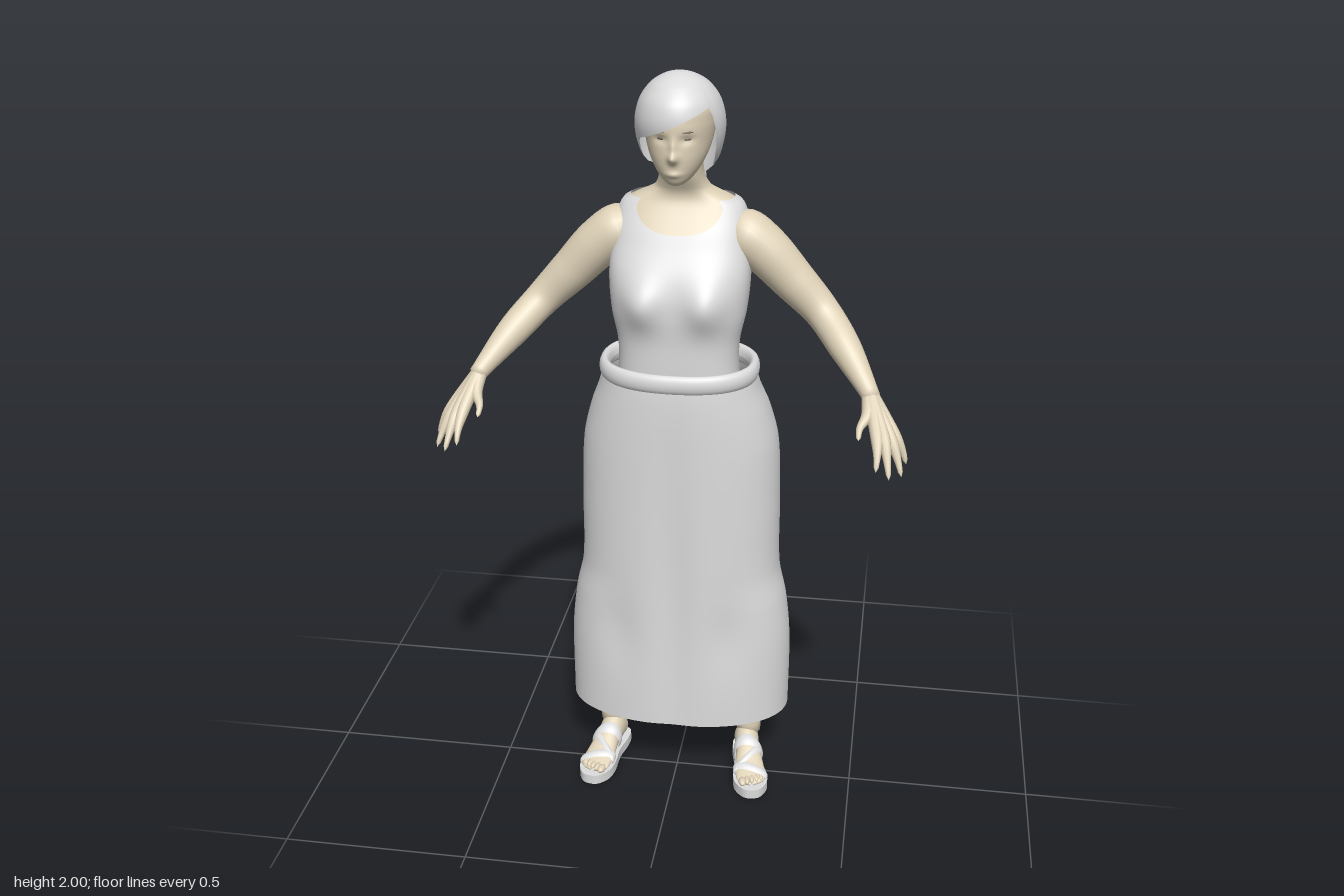
import * as THREE from 'three';

const V = (x, y, z) => new THREE.Vector3(x, y, z);
const { smoothstep, lerp } = THREE.MathUtils;
const TAU = Math.PI * 2;

// Smooth value of table rows [key, a, b, ...] at a key (cubic through the rows).
function at(rows, k) {
  const last = rows.length - 1;
  k = Math.min(Math.max(k, rows[0][0]), rows[last][0]);
  let i = 0;
  while (i < last - 1 && k > rows[i + 1][0]) i++;
  const h = rows[i + 1][0] - rows[i][0], t = (k - rows[i][0]) / h;
  const slope = (j, c) => {
    const a = rows[Math.max(j - 1, 0)], b = rows[Math.min(j + 1, last)];
    return (b[c] - a[c]) / (b[0] - a[0]);
  };
  return rows[i].slice(1).map((p, n) => {
    const c = n + 1, t2 = t * t, t3 = t2 * t;
    return p * (2 * t3 - 3 * t2 + 1) + rows[i + 1][c] * (3 * t2 - 2 * t3)
      + h * slope(i, c) * (t3 - 2 * t2 + t) + h * slope(i + 1, c) * (t3 - t2);
  });
}

// Surface from f(u, v); u wraps round unless open.
function grid(nu, nv, f, open = false) {
  const cols = open ? nu + 1 : nu, pos = [], index = [];
  for (let j = 0; j <= nv; j++)
    for (let i = 0; i < cols; i++) pos.push(...f(i / nu, j / nv).toArray());
  for (let j = 0; j < nv; j++)
    for (let i = 0; i < nu; i++) {
      const a = j * cols + i, b = j * cols + (i + 1) % cols;
      index.push(a, b, b + cols, a, b + cols, a + cols);
    }
  const g = new THREE.BufferGeometry();
  g.setAttribute('position', new THREE.Float32BufferAttribute(pos, 3));
  g.setIndex(index);
  g.computeVertexNormals();
  return g;
}

// Point on a level cross-section; rows are [y, half width, front z, back z].
function section(rows, angle, y, grow = 0, n = 2) {
  const [rx, zf, zb] = at(rows, y);
  const p = (c) => Math.sign(c) * Math.abs(c) ** (2 / n);
  return V((Math.max(rx, 0) + grow) * p(Math.sin(angle)), y,
    (zf + zb) / 2 + ((zf - zb) / 2 + grow) * p(Math.cos(angle)));
}

// Tapering limb through points [x, y, z, radius], closed at both ends.
function limb(points, side, segs = 16, steps = 32) {
  const curve = new THREE.CatmullRomCurve3(points.map((p) => V(p[0] * side, p[1], p[2])));
  const frames = curve.computeFrenetFrames(steps);
  const radii = points.map((p, i) => [i / (points.length - 1), p[3]]);
  const path = Array.from({ length: steps + 1 }, (_, j) => curve.getPointAt(j / steps));
  return grid(segs, steps, (u, v) => {
    const j = Math.round(v * steps), t = curve.getUtoTmapping(v);
    const r = at(radii, t)[0] * (j === 0 || j === steps ? 0.01 : 1);
    return path[j].clone()
      .addScaledVector(frames.normals[j], r * Math.cos(u * TAU))
      .addScaledVector(frames.binormals[j], r * Math.sin(u * TAU));
  });
}

const bump = (x, y, cx, cy, sx, sy) => Math.exp(-(((x - cx) / sx) ** 2) - ((y - cy) / sy) ** 2);

const TORSO = [
  [1.1, .165, .06, -.14], [1.25, .15, .065, -.13], [1.32, .152, .066, -.135], [1.4, .168, .068, -.148],
  [1.5, .175, .055, -.162], [1.58, .166, .01, -.168], [1.64, .154, -.026, -.165], [1.67, .137, -.042, -.16],
  [1.685, .105, -.045, -.155], [1.7, .074, -.042, -.15], [1.74, .056, -.02, -.136], [1.8, .055, 0, -.13]];
const HEAD = [
  [1.73, 0, .02, .02], [1.74, .025, .047, -.03], [1.765, .05, .06, -.08], [1.8, .07, .066, -.12],
  [1.84, .083, .066, -.15], [1.89, .09, .068, -.16], [1.93, .085, .055, -.145], [1.965, .05, 0, -.09], [1.98, 0, -.04, -.04]];
const HAIR = [
  [1.69, .03, -.125, -.17], [1.72, .05, -.085, -.172], [1.76, .08, -.02, -.175], [1.8, .1, .045, -.182], [1.87, .112, .082, -.188],
  [1.93, .1, .077, -.17], [1.97, .072, .045, -.128], [1.99, .042, .01, -.085], [1.998, .018, -.017, -.055], [2, 0, -.036, -.036]];
const SKIRT = [
  [.2, .31, .1, -.256], [.42, .309, .1, -.256], [.55, .295, .1, -.256], [.65, .274, .1, -.255], [.85, .27, .1, -.255],
  [1.02, .262, .1, -.252], [1.12, .238, .1, -.23], [1.19, .212, .098, -.195], [1.24, .2, .093, -.178]];
// Foot rows: [z, half width, top height]
const FOOT = [
  [-.115, .004, .05], [-.1, .026, .085], [-.06, .034, .12], [-.01, .034, .1], [.04, .04, .07], [.08, .042, .052], [.105, .034, .042], [.115, .004, .034]];

function torsoPoint(angle, y, grow) {
  const p = section(TORSO, angle, y, grow, 2.5);
  if (Math.cos(angle) > 0)
    p.z += .034 * Math.cos(angle) ** .5 * (bump(p.x, y, .085, 1.435, .055, .06) + bump(p.x, y, -.085, 1.435, .055, .06));
  return p;
}

function footPoint(angle, z, grow = 0) {
  const [w, top] = at(FOOT, z), h = (top - .026) / 2;
  return V((w + grow) * Math.cos(angle), .026 + h + (h + grow) * Math.sin(angle), z);
}

export function createModel() {
  const make = (name, color, side) => new THREE.MeshStandardMaterial({ name, color, side });
  const cloth = make('paleGrey', 0xdcdcdc, THREE.DoubleSide);
  const skin = make('skin', 0xdfd2b8, THREE.FrontSide);
  const dark = make('darkBrown', 0x6b6258, THREE.FrontSide);
  const model = new THREE.Group();
  model.name = 'woman';
  const add = (name, geometry, material, parent = model) => {
    const m = new THREE.Mesh(geometry, material);
    m.name = name;
    parent.add(m);
    return m;
  };
  const ball = new THREE.SphereGeometry(1, 16, 12);

  // Torso, neck and sleeveless top with a rounded neckline
  add('torso', grid(96, 70, (u, v) => torsoPoint(u * TAU, lerp(1.1, 1.8, v), 0)), skin);
  add('tankTop', grid(160, 60, (u, v) => {
    const a = u * TAU, depth = Math.cos(a) > 0 ? .078 : .055;
    const top = 1.678 - depth * Math.max(0, 1 - (Math.sin(a) / .66) ** 2) ** .6;
    const y = lerp(1.1, top, v);
    return torsoPoint(a, y, .006 + .005 * smoothstep(y, 1.5, 1.62));
  }), cloth);

  // Head with a modelled face
  add('head', grid(96, 80, (u, v) => {
    const a = u * TAU, p = section(HEAD, a, lerp(1.73, 1.98, v));
    if (Math.cos(a) > 0) {
      p.z += .019 * bump(p.x, p.y, 0, 1.81, .012, .013) + .01 * bump(p.x, p.y, 0, 1.835, .009, .022)
        + .006 * bump(p.x, p.y, 0, 1.768, .02, .008)
        - .007 * (bump(p.x, p.y, .032, 1.853, .017, .011) + bump(p.x, p.y, -.032, 1.853, .017, .011));
    }
    return p;
  }), skin);
  for (const s of [-1, 1]) {
    const eye = add('eye', ball, dark);
    eye.position.set(s * .032, 1.855, .051);
    eye.scale.set(.011, .0035, .004);
    const brow = add('eyebrow', ball, dark);
    brow.position.set(s * .034, 1.873, .059);
    brow.scale.set(.015, .002, .003);
    eye.rotation.y = brow.rotation.y = s * .35;
  }

  // Hair with a swept fringe, gathered at the nape
  add('hair', grid(96, 40, (u, v) => {
    const a = u > .5 ? (u - 1) * TAU : u * TAU, b = Math.abs(a);
    const fringe = 1.888 + .05 * Math.sin(a);
    const sides = 1.765 - .075 * smoothstep(b, 1.3, 2.5);
    const bottom = lerp(fringe, sides, smoothstep(b, .9, 1.25));
    return section(HAIR, a, lerp(bottom, 2, Math.sin(v * Math.PI / 2)));
  }), cloth);

  // Braid of overlapping strands down the back
  const braid = new THREE.Group();
  braid.name = 'braid';
  model.add(braid);
  const braidPath = new THREE.CatmullRomCurve3([
    V(0, 1.71, -.145), V(0, 1.65, -.175), V(0, 1.56, -.197), V(0, 1.46, -.202), V(0, 1.37, -.19), V(0, 1.29, -.175)]);
  for (let i = 0; i < 14; i++) {
    const s = i % 2 ? 1 : -1, t = i / 17, k = 1 - .5 * t;
    const strand = add('strand', ball, cloth, braid);
    strand.position.copy(braidPath.getPointAt(t));
    strand.position.x += s * .021 * k;
    strand.scale.set(.025 * k, .048 * k, .029 * k);
    strand.rotation.z = -s * .55;
  }
  add('braidTip', limb([[0, 1.37, -.19, .01], [0, 1.345, -.186, .013], [0, 1.325, -.181, .017], [0, 1.29, -.175, .003]], 1, 10, 12), cloth, braid);

  // Long skirt with soft folds, its lower flare set towards the front, and a rolled waistband
  add('skirt', grid(96, 60, (u, v) => {
    const c = Math.cos(u * TAU), p = section(SKIRT, u * TAU, lerp(.2, 1.24, v), 0, 2.2);
    p.x *= 1 - .1 * smoothstep(-c, 0, .7) * (1 - smoothstep(p.y, .4, .75));
    if (c > 0)
      p.z -= .014 * bump(p.x, p.y, 0, .6, .05, .4) + .01 * (bump(p.x, p.y, .15, .48, .06, .12) + bump(p.x, p.y, -.15, .48, .06, .12));
    return p;
  }), cloth);
  add('waistband', grid(96, 14, (u, v) => {
    const c = Math.PI + v * TAU, p = section(SKIRT, u * TAU, 1.24, -.004 + .014 * Math.cos(c), 2.3);
    p.y = 1.237 + .026 * Math.sin(c) - .006 * Math.cos(u * TAU);
    return p;
  }), cloth);

  // Sole outline, rounded at toe and heel
  const outline = [[0, -.125], [.03, -.112], [.038, -.07], [.037, -.01], [.047, .05], [.046, .095], [.025, .13], [0, .138]];
  const loop = [...outline, ...outline.slice(1, -1).reverse().map(([x, z]) => [-x, z])];
  const soleShape = new THREE.Shape(new THREE.SplineCurve([...loop, loop[0]].map((p) => new THREE.Vector2(...p))).getPoints(56));
  const sole = new THREE.ExtrudeGeometry(soleShape, { depth: .028, bevelEnabled: false });
  sole.rotateX(Math.PI / 2).translate(0, .028, 0);

  for (const s of [-1, 1]) {
    const label = s > 0 ? 'left' : 'right';

    // Arm and hand; each finger runs from the wrist so they merge into a palm
    add(label + 'Arm', limb([
      [.115, 1.6, -.085, .04], [.155, 1.587, -.083, .066], [.21, 1.55, -.08, .064], [.285, 1.473, -.08, .056], [.365, 1.392, -.068, .046],
      [.43, 1.325, .003, .041], [.49, 1.255, .083, .026], [.51, 1.23, .112, .022]], s, 24, 48), skin);
    const hand = new THREE.Group();
    hand.name = label + 'Hand';
    model.add(hand);
    const fingers = [
      [[.524, 1.165, .19], [.528, 1.13, .227], [.527, 1.1, .25]], [[.543, 1.157, .188], [.554, 1.113, .223], [.56, 1.08, .247]],
      [[.56, 1.152, .171], [.579, 1.11, .195], [.59, 1.075, .213]], [[.569, 1.153, .147], [.59, 1.115, .153], [.6, 1.085, .158]],
      [[.497, 1.205, .145], [.481, 1.183, .18], [.48, 1.163, .208]]];
    fingers.forEach(([knuckle, mid, tip], i) =>
      add(i === 4 ? 'thumb' : 'finger', limb([[.497, 1.248, .09, .019], [...knuckle, .0155], [...mid, .009], [...tip, .005]], s, 10, 18), skin, hand));

    // Leg, continuing up under the skirt
    add(label + 'Leg', limb([
      [.2, .07, -.068, .034], [.2, .13, -.07, .035], [.202, .22, -.074, .042], [.196, .38, -.085, .06], [.175, .6, -.07, .06],
      [.14, .85, -.07, .08], [.1, 1.15, -.06, .085]], s, 20, 40), skin);

    // Foot and sandal, turned slightly outwards
    const foot = new THREE.Group();
    foot.name = label + 'Foot';
    foot.position.x = s * .207;
    foot.rotation.y = s * .2;
    model.add(foot);
    add('foot', grid(24, 32, (u, v) => footPoint(u * TAU, lerp(-.115, .115, v))), skin, foot);
    for (let i = 0; i < 5; i++) {
      const toe = add('toe', ball, skin, foot);
      toe.position.set(s * (-.026 + i * .0135), .038, .108 - i * .005);
      toe.scale.set(i ? .008 : .011, .01, .018);
    }
    add('sole', sole, cloth, foot);
    const strap = (name, z, slant, width) => add(name, grid(24, 4, (u, v) => {
      const a = lerp(-.5, Math.PI + .5, u);
      return footPoint(a, z + s * slant * Math.cos(a) + (v - .5) * width, .007 - .004 * (2 * v - 1) ** 2);
    }, true), cloth, foot);
    strap('toeStrap', .07, .016, .024);
    strap('crossStrap', .035, -.03, .02);
    strap('instepStrap', -.005, .006, .03);
  }
  return model;
}
